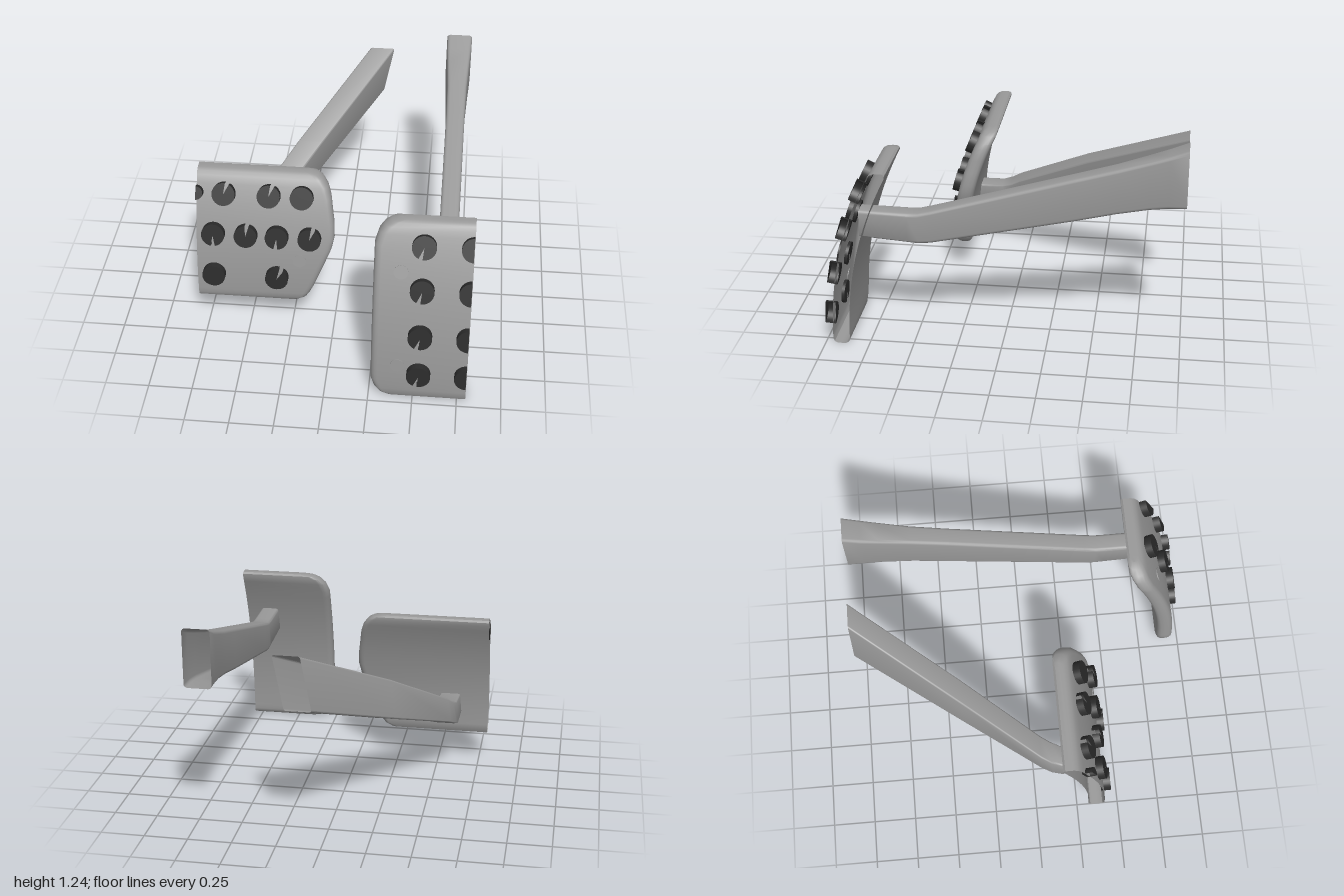
import * as THREE from 'three';
import { toCreasedNormals } from 'three/addons/utils/BufferGeometryUtils.js';

const mat = (name, color) => new THREE.MeshStandardMaterial({ name, color, side: THREE.DoubleSide });

// Skin a list of equal-length rings of [x, y, z] points
function loft(rings, closed) {
  const n = rings[0].length, idx = [];
  for (let i = 0; i < rings.length - 1; i++) {
    for (let j = 0; j < (closed ? n : n - 1); j++) {
      const k = (j + 1) % n;
      const a = i * n + j, b = i * n + k, c = a + n, d = b + n;
      idx.push(a, c, b, b, c, d);
    }
  }
  const g = new THREE.BufferGeometry();
  g.setAttribute('position', new THREE.Float32BufferAttribute(rings.flat(2), 3));
  g.setIndex(idx);
  return toCreasedNormals(g, 0.7);
}

// Curved plate: outline is [y, edge x] pairs, front(y) gives the front z, cut is the open side
function plateGeometry(outline, front, cut) {
  const h = 0.048, r = 0.04, dir = Math.sign(cut);
  const y0 = outline[0][0], y1 = outline[outline.length - 1][0];
  const rows = [];
  outline.forEach(([y, x], i) => {
    if (i) {
      const [py, px] = outline[i - 1], steps = Math.ceil((y - py) / 0.04);
      for (let s = 1; s <= steps; s++) rows.push([py + (y - py) * s / steps, px + (x - px) * s / steps]);
    } else rows.push([y, x]);
  });
  const ring = (y, edge, thick) => {
    const pts = [[cut, 1]];
    for (let i = 0; i <= 8; i++) {
      const a = Math.PI * i / 8, c = Math.cos(a);
      pts.push([edge + dir * r * (1 - Math.sin(a)), Math.sign(c) * Math.pow(Math.abs(c), 0.7)]);
    }
    pts.push([cut, -1]);
    const out = pts.map(([x, k]) => [x, y, front(y) - h + k * h * thick]);
    return dir > 0 ? out : out.reverse();
  };
  const rings = rows.map(([y, x]) => {
    const e = Math.min(1, Math.min(y - y0, y1 - y) / 0.035);
    return ring(y, x, 0.5 + 0.5 * Math.sqrt(1 - (1 - e) ** 2));
  });
  // Close the bottom and top edges
  rings.unshift(ring(y0, rows[0][1], 0));
  rings.push(ring(y1, rows[rows.length - 1][1], 0));
  return loft(rings, false);
}

// Rounded box tube: each section is [z, bottom left x, bottom right x, top shift, bottom y, top y]
function armGeometry(sections, r) {
  return loft(sections.map(([z, xa, xb, shift, ya, yb]) => {
    const ring = [];
    [[xb, ya, -1, 1], [xb, yb, -1, -1], [xa, yb, 1, -1], [xa, ya, 1, 1]].forEach(([x, y, sx, sy], q) => {
      for (let i = 0; i <= 4; i++) {
        const a = -Math.PI / 2 + (q + i / 4) * Math.PI / 2;
        const py = y + sy * r + Math.sin(a) * r;
        const px = x + sx * r + Math.cos(a) * r + shift * (py - ya) / (yb - ya);
        ring.push([px, py, z]);
      }
    });
    return ring;
  }), true);
}

export function createModel() {
  const metal = mat('grey metal', 0x999999);
  const rubber = mat('black rubber', 0x2c2c2c);
  const model = new THREE.Group();
  const add = (parent, name, geo, material) => {
    const m = new THREE.Mesh(geo, material);
    m.name = name;
    parent.add(m);
    return m;
  };

  // Lay a part on a plate's curved front face
  const place = (mesh, x, y, front, lift) => {
    const slope = (front(y + 0.01) - front(y - 0.01)) / 0.02;
    const tilt = Math.atan(slope);
    mesh.position.set(x, y - Math.sin(tilt) * lift, front(y) + Math.cos(tilt) * lift);
    mesh.rotation.x = tilt;
  };
  const disc = (r, h, start = 0, length = Math.PI * 2) =>
    new THREE.CylinderGeometry(r, r, h, 28, 1, false, start, length).rotateX(Math.PI / 2);

  function pedal(name, outline, front, cut, studs, holes, arm, radius) {
    const group = new THREE.Group();
    group.name = name;
    model.add(group);
    add(group, 'plate', plateGeometry(outline, front, cut), metal);
    add(group, 'arm', armGeometry(arm, radius), metal);
    // Grip studs, each with a narrow notch
    studs.forEach(([x, y, start, length = Math.PI * 2 - 0.35, r = 0.067]) =>
      place(add(group, 'gripStud', disc(r, 0.06, start, length), rubber), x, y, front, 0.012));
    holes.forEach(([x, y]) => place(add(group, 'boltDisc', disc(0.04, 0.008), metal), x, y, front, 0));
  }

  // Tall narrow pedal
  const tallStuds = [];
  for (const y of [0.94, 0.71, 0.44, 0.19]) {
    tallStuds.push([0.53, y, -0.1]);
    tallStuds.push([0.797, y, Math.PI, Math.PI]);
  }
  pedal('tallPedal',
    [[0, 0.38], [0.01, 0.34], [0.03, 0.305], [0.06, 0.28], [0.12, 0.26], [0.93, 0.26],
      [0.99, 0.28], [1.025, 0.31], [1.045, 0.345], [1.055, 0.39]],
    y => 0.957 - 0.22 * Math.pow(Math.max(y, 0), 2.25), 0.8,
    tallStuds, [[0.41, 0.8], [0.41, 0.235]],
    [[0.8, 0.6, 0.71, 0, 0.63, 0.79], [0.53, 0.6, 0.71, 0, 0.61, 0.785], [0.47, 0.6, 0.71, 0, 0.605, 0.787],
      [0.4, 0.6, 0.71, 0, 0.613, 0.805], [-0.4, 0.6, 0.71, 0, 0.79, 1.04], [-0.62, 0.597, 0.713, 0, 0.845, 1.105],
      [-0.8, 0.588, 0.722, 0, 0.885, 1.165], [-0.9, 0.582, 0.728, 0, 0.9, 1.2], [-1, 0.578, 0.732, 0, 0.905, 1.24]], 0.02);

  // Wide pedal with a slanted lower corner
  pedal('widePedal',
    [[0.19, -0.25], [0.195, -0.2], [0.22, -0.16], [0.25, -0.14], [0.3, -0.115], [0.55, -0.015], [0.62, 0],
      [0.7, -0.003], [0.85, -0.025], [0.91, -0.045], [0.95, -0.075], [0.97, -0.105], [0.98, -0.15]],
    y => 0.405 - 0.315 * Math.pow(Math.max(y - 0.19, 0), 2.25), -0.8,
    [[-0.19, 0.86, 0, Math.PI * 2], [-0.38, 0.86, 3.0], [-0.64, 0.86, 3.0], [-0.8, 0.86, 0, Math.PI, 0.04],
      [-0.7, 0.63, 0.2], [-0.51, 0.63, 3.2], [-0.33, 0.63, 0.1], [-0.14, 0.63, 3.0],
      [-0.7, 0.37, 0, Math.PI * 2], [-0.33, 0.37, 2.9]],
    [[-0.2, 0.48]],
    [[0.33, -0.64, -0.52, 0.01, 0.325, 0.45], [0.16, -0.635, -0.51, 0.015, 0.315, 0.455],
      [0.1, -0.625, -0.49, 0.02, 0.335, 0.48], [0.04, -0.6, -0.46, 0.02, 0.365, 0.52],
      [-0.4, -0.33, -0.18, 0.035, 0.55, 0.79], [-1, 0.04, 0.19, 0.06, 0.81, 1.12]], 0.012);

  return model;
}
